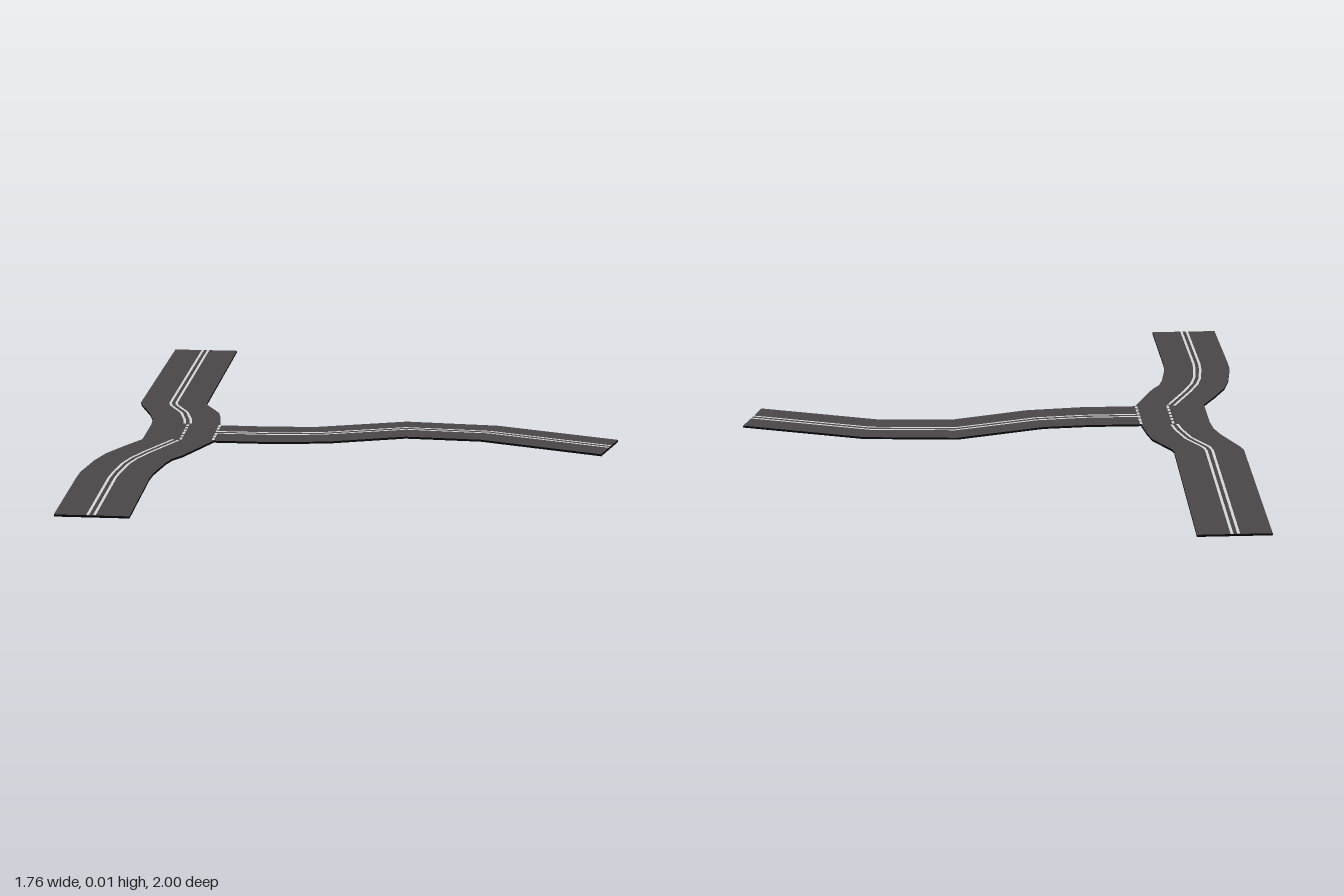
import * as THREE from 'three';

const asphalt = new THREE.MeshStandardMaterial({ color: 0x4b4648 });
asphalt.name = 'asphalt';
const paint = new THREE.MeshStandardMaterial({ color: 0xd8d6d6 });
paint.name = 'road paint';
const base = new THREE.MeshStandardMaterial({ color: 0x050505 });
base.name = 'dark base';

const BASE_TOP = 0.006, ROAD_TOP = 0.007, PAINT_TOP = 0.008;

// Flat outline from [x, z] points
const outline = (pts) => new THREE.Shape(pts.map(([x, z]) => new THREE.Vector2(x, -z)));

function addMesh(group, geometry, material, name, y) {
  geometry.rotateX(-Math.PI / 2);
  geometry.translate(0, y, 0);
  const mesh = new THREE.Mesh(geometry, material);
  mesh.name = name;
  group.add(mesh);
}

// Points of a path shifted sideways, mitred at the bends
function offsetPath(path, d) {
  const normal = (a, b) => new THREE.Vector2(-(b[1] - a[1]), b[0] - a[0]).normalize();
  return path.map((p, i) => {
    const n0 = normal(path[Math.max(i - 1, 0)], path[Math.max(i, 1)]);
    const last = path.length - 1;
    const n1 = normal(path[Math.min(i, last - 1)], path[Math.min(i + 1, last)]);
    const m = n0.clone().add(n1).normalize();
    const k = d / m.dot(n0);
    return [p[0] + m.x * k, p[1] + m.y * k];
  });
}

// Painted line along a path
function addLine(group, path, shift, width, name) {
  const a = offsetPath(path, shift - width / 2);
  const b = offsetPath(path, shift + width / 2);
  addMesh(group, new THREE.ShapeGeometry(outline([...a, ...b.reverse()])), paint, name, PAINT_TOP);
}

// Road slab: dark body with an asphalt surface between two edges
function addRoad(group, left, right, name) {
  const shape = outline([...left, ...right.slice().reverse()]);
  const body = new THREE.ExtrudeGeometry(shape, { depth: BASE_TOP, bevelEnabled: false });
  addMesh(group, body, base, name + 'Base', 0);
  addMesh(group, new THREE.ShapeGeometry(shape), asphalt, name + 'Surface', ROAD_TOP);
}

export function createModel() {
  const model = new THREE.Group();
  model.name = 'roadJunction';

  // Main road, running front to back
  addRoad(model,
    [[-0.80, -1], [-0.813, -0.27], [-0.805, -0.24], [-0.755, -0.12], [-0.738, -0.06], [-0.733, 0], [-0.735, 0.18],
      [-0.785, 0.265], [-0.83, 0.35], [-0.855, 0.43], [-0.878, 0.56], [-0.88, 0.62], [-0.88, 1]],
    [[-0.563, -1], [-0.577, -0.27], [-0.57, -0.25], [-0.517, -0.155], [-0.505, -0.10], [-0.492, 0], [-0.492, 0.18],
      [-0.57, 0.35], [-0.60, 0.395], [-0.615, 0.44], [-0.638, 0.56], [-0.642, 0.62], [-0.642, 1]],
    'mainRoad');

  // Side road, branching to the left
  addRoad(model,
    [[-0.492, -0.006], [-0.31, -0.004], [-0.155, -0.015], [0.147, -0.104], [0.464, -0.08], [0.878, 0.055]],
    [[-0.492, 0.178], [-0.30, 0.178], [-0.105, 0.157], [0.155, 0.077], [0.413, 0.092], [0.82, 0.226]],
    'sideRoad');

  // Double centre lines
  const centres = {
    backLine: [[-0.683, -1], [-0.696, -0.27], [-0.69, -0.24], [-0.64, -0.15], [-0.617, -0.07], [-0.608, -0.015]],
    frontLine: [[-0.62, 0.18], [-0.695, 0.325], [-0.728, 0.40], [-0.745, 0.46], [-0.759, 0.56], [-0.763, 0.62], [-0.763, 1]],
    sideLine: [[-0.49, 0.082], [-0.30, 0.082], [-0.135, 0.066], [0.15, -0.018], [0.44, 0.003], [0.85, 0.138]],
  };
  for (const [name, path] of Object.entries(centres)) {
    for (const s of [-1, 1]) addLine(model, path, s * 0.0105, 0.009, name);
  }

  // Dashed lines across the junction
  for (const x of [-0.605, -0.494]) {
    for (let i = 0; i < 6; i++) {
      const z = -0.005 + i * 0.0315;
      addLine(model, [[x, z], [x, z + 0.022]], 0, 0.009, 'junctionDash');
    }
  }
  return model;
}
